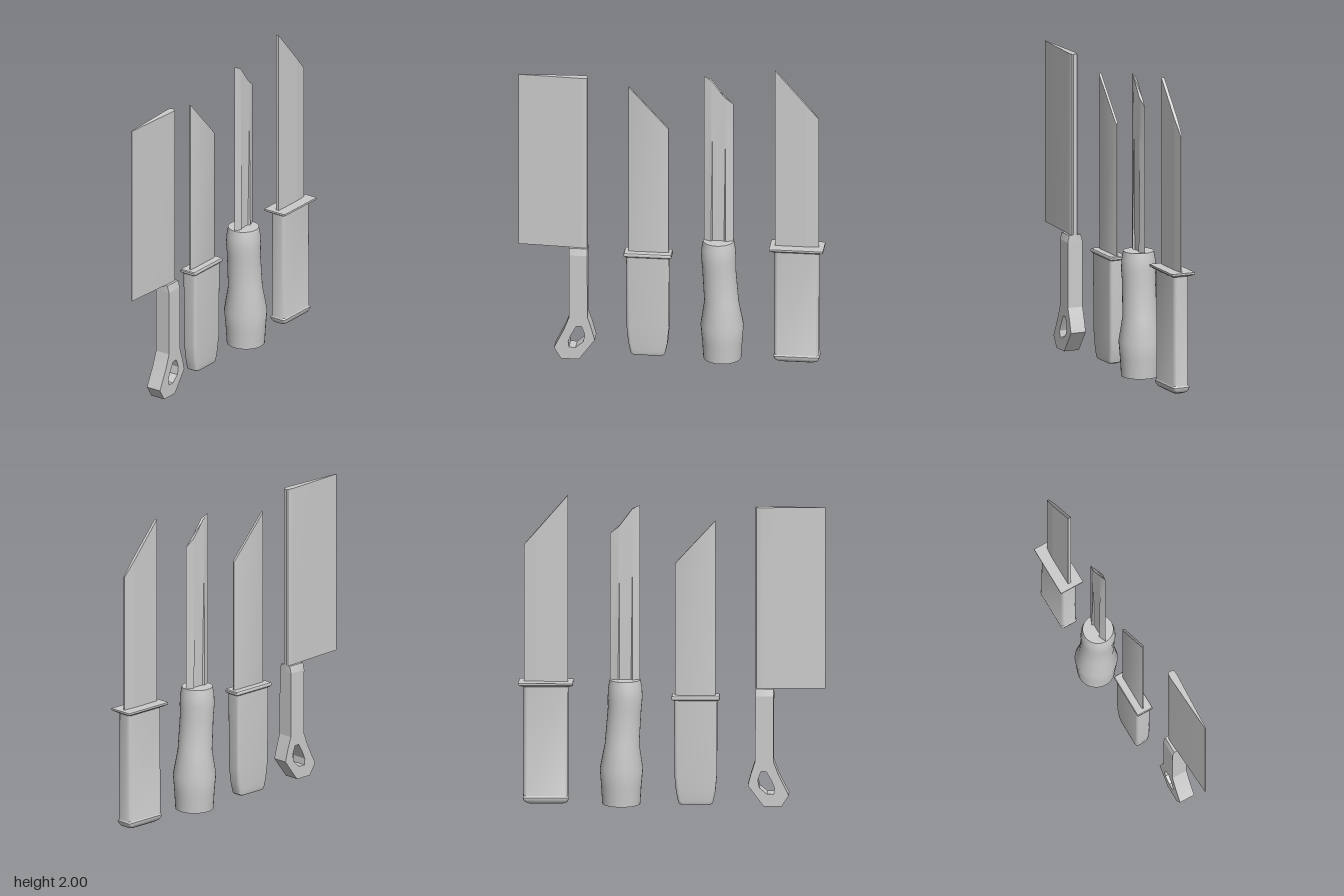
import * as THREE from 'three';
import { toCreasedNormals } from 'three/addons/utils/BufferGeometryUtils.js';

const material = new THREE.MeshStandardMaterial({ color: 0xcccccc });

function add(parent, name, geometry, crease = 0.5) {
  const mesh = new THREE.Mesh(toCreasedNormals(geometry, crease), material);
  mesh.name = name;
  parent.add(mesh);
  return mesh;
}

// Skin a stack of rings of [x, y, z], bottom to top, counterclockwise seen from above
function loft(rings) {
  const n = rings[0].length, pos = [];
  const tri = (a, b, c) => pos.push(...a, ...b, ...c);
  for (let k = 0; k + 1 < rings.length; k++) {
    const lo = rings[k], hi = rings[k + 1];
    for (let i = 0; i < n; i++) {
      const j = (i + 1) % n;
      tri(lo[i], lo[j], hi[j]);
      tri(lo[i], hi[j], hi[i]);
    }
  }
  const cap = (ring, up) => {
    const flat = ring.map(([x, , z]) => new THREE.Vector2(x, -z));
    for (const [a, b, c] of THREE.ShapeUtils.triangulateShape(flat, [])) {
      if (up) tri(ring[a], ring[b], ring[c]);
      else tri(ring[a], ring[c], ring[b]);
    }
  };
  cap(rings[0], false);
  cap(rings[rings.length - 1], true);
  const geometry = new THREE.BufferGeometry();
  geometry.setAttribute('position', new THREE.Float32BufferAttribute(pos, 3));
  return geometry;
}

// Rounded rectangle ring with half sizes hx, hz and corner radius r
function roundRect(y, hx, hz, r, cx, cz) {
  const ring = [], steps = 4;
  [[1, -1], [-1, -1], [-1, 1], [1, 1]].forEach(([sx, sz], q) => {
    for (let i = 0; i <= steps; i++) {
      const a = (q + i / steps) * Math.PI / 2;
      ring.push([cx + sx * (hx - r) + r * Math.cos(a), y, cz + sz * (hz - r) - r * Math.sin(a)]);
    }
  });
  return ring;
}

const stack = (rows, cx, cz) => loft(rows.map(([y, hx, hz, r]) => roundRect(y, hx, hz, r, cx, cz)));

// Symmetric blade section from its +x half, listed [x, z] from front to back
function section(half, heightAt) {
  const mirrored = half.filter(([x]) => x > 0).reverse().map(([x, z]) => [-x, z]);
  return [...half, ...mirrored].map(([x, z]) => [x, heightAt(z), z]);
}

// Height of a slanted blade tip between two [z, y] points
const slope = ([z0, y0], [z1, y1]) => z => y0 + (y1 - y0) * (z - z0) / (z1 - z0);

function cleaver() {
  const g = new THREE.Group();
  g.name = 'cleaver';
  // Wedge blade: thick rounded spine at the back, thin edge at the front
  const half = [[0.003, 0.965], [0.024, 0.57], [0.024, 0.545], [0.019, 0.53], [0.012, 0.525]];
  const blade = add(g, 'cleaverBlade', loft([0.755, 1.92].map(y => section(half, () => y))));
  blade.position.x = 0.055;

  // Flat handle with a flared eye, drawn in [z, y]
  const outline = [[0.64, 0.71], [0.638, 0.29], [0.672, 0.2], [0.735, 0.073], [0.69, 0],
    [0.577, 0], [0.477, 0.135], [0.497, 0.21], [0.523, 0.29], [0.525, 0.71]];
  const eye = [[0.593, 0.225], [0.56, 0.225], [0.54, 0.17], [0.55, 0.12],
    [0.598, 0.08], [0.64, 0.08], [0.645, 0.12], [0.624, 0.17]];
  const toPoints = list => list.map(([z, y]) => new THREE.Vector2(-z, y));
  const shape = new THREE.Shape(toPoints(outline));
  shape.holes.push(new THREE.Path(toPoints(eye)));
  const handle = new THREE.ExtrudeGeometry(shape, { depth: 0.102, bevelEnabled: false });
  handle.rotateY(Math.PI / 2).translate(0.004, 0, 0);
  add(g, 'cleaverHandle', handle, 0.3);
  add(g, 'cleaverHandleShoulder', stack([[0.71, 0.051, 0.0575, 0.001], [0.755, 0.04, 0.0575, 0.001]], 0.055, 0.5825), 0.3);
  return g;
}

function smallKnife() {
  const g = new THREE.Group();
  g.name = 'smallKnife';
  const half = [[0.004, 0.275], [0.008, 0.265], [0.008, 0.03], [0.004, 0.02]];
  const tip = slope([0.275, 1.845], [0.02, 1.565]);
  add(g, 'smallKnifeBlade', loft([section(half, () => 0.7), section(half, tip)]));
  add(g, 'smallKnifeGuard', stack([[0.69, 0.05, 0.143, 0.008], [0.697, 0.055, 0.152, 0.008],
    [0.71, 0.055, 0.152, 0.008], [0.716, 0.052, 0.148, 0.008]], 0, 0.15));
  // Handle drawn in towards the butt
  add(g, 'smallKnifeHandle', stack([[0.017, 0.036, 0.095, 0.015], [0.025, 0.04, 0.108, 0.02],
    [0.05, 0.042, 0.114, 0.02], [0.1, 0.044, 0.124, 0.02], [0.2, 0.048, 0.133, 0.02],
    [0.695, 0.05, 0.136, 0.02]], 0, 0.15));
  return g;
}

function roundHandledKnife() {
  const g = new THREE.Group();
  g.name = 'roundHandledKnife';
  // Turned handle that leans slightly: [y, radius, centre z]
  const rows = [[0.015, 0.12, -0.319], [0.13, 0.127, -0.319], [0.24, 0.136, -0.318], [0.4, 0.109, -0.314],
    [0.63, 0.106, -0.298], [0.7, 0.11, -0.295], [0.76, 0.107, -0.295], [0.815, 0.097, -0.295]];
  const ringAt = ([y, r, cz]) => Array.from({ length: 32 }, (_, i) => {
    const a = i * Math.PI / 16;
    return [r * Math.cos(a), y, cz - r * Math.sin(a)];
  });
  add(g, 'turnedHandle', loft(rows.map(ringAt)));

  // Double-edged blade whose centre groove runs out below the tip
  const half = (ridge, groove) => [[0, -0.202], [ridge, -0.248], [groove, -0.258],
    [groove, -0.33], [ridge, -0.34], [0, -0.39]];
  const runOut = slope([-0.255, 1.6], [-0.335, 1.535]);
  const tipPoints = [[-0.39, 1.755], [-0.335, 1.8], [-0.25, 1.915], [-0.202, 1.937]];
  const tip = z => {
    const i = Math.max(1, tipPoints.findIndex(p => p[0] >= z));
    return slope(tipPoints[i - 1], tipPoints[i])(z);
  };
  add(g, 'groovedBlade', loft([section(half(0.02, 0.008), () => 0.8),
    section(half(0.013, 0.0125), runOut), section(half(0.01, 0.01), tip)]), 0.3);
  return g;
}

function largeKnife() {
  const g = new THREE.Group();
  g.name = 'largeKnife';
  // Blade thinned along its back edge
  const half = [[0.01, -0.655], [0.011, -0.85], [0.005, -0.93]];
  const tip = slope([-0.655, 2], [-0.93, 1.68]);
  add(g, 'largeKnifeBlade', loft([section(half, () => 0.78), section(half, tip)]), 0.05);
  add(g, 'largeKnifeGuard', stack([[0.775, 0.062, 0.15, 0.005], [0.788, 0.08, 0.171, 0.003],
    [0.8, 0.08, 0.171, 0.003]], 0, -0.793), 0.3);
  // Handle with a small lip round the domed butt
  add(g, 'largeKnifeHandle', stack([[0.016, 0.032, 0.11, 0.02], [0.026, 0.046, 0.132, 0.02],
    [0.042, 0.054, 0.142, 0.015], [0.058, 0.056, 0.145, 0.01], [0.068, 0.051, 0.141, 0.02],
    [0.78, 0.051, 0.141, 0.025]], 0, -0.793));
  return g;
}

export function createModel() {
  const model = new THREE.Group();
  model.name = 'knifeSet';
  model.add(cleaver(), smallKnife(), roundHandledKnife(), largeKnife());
  return model;
}
